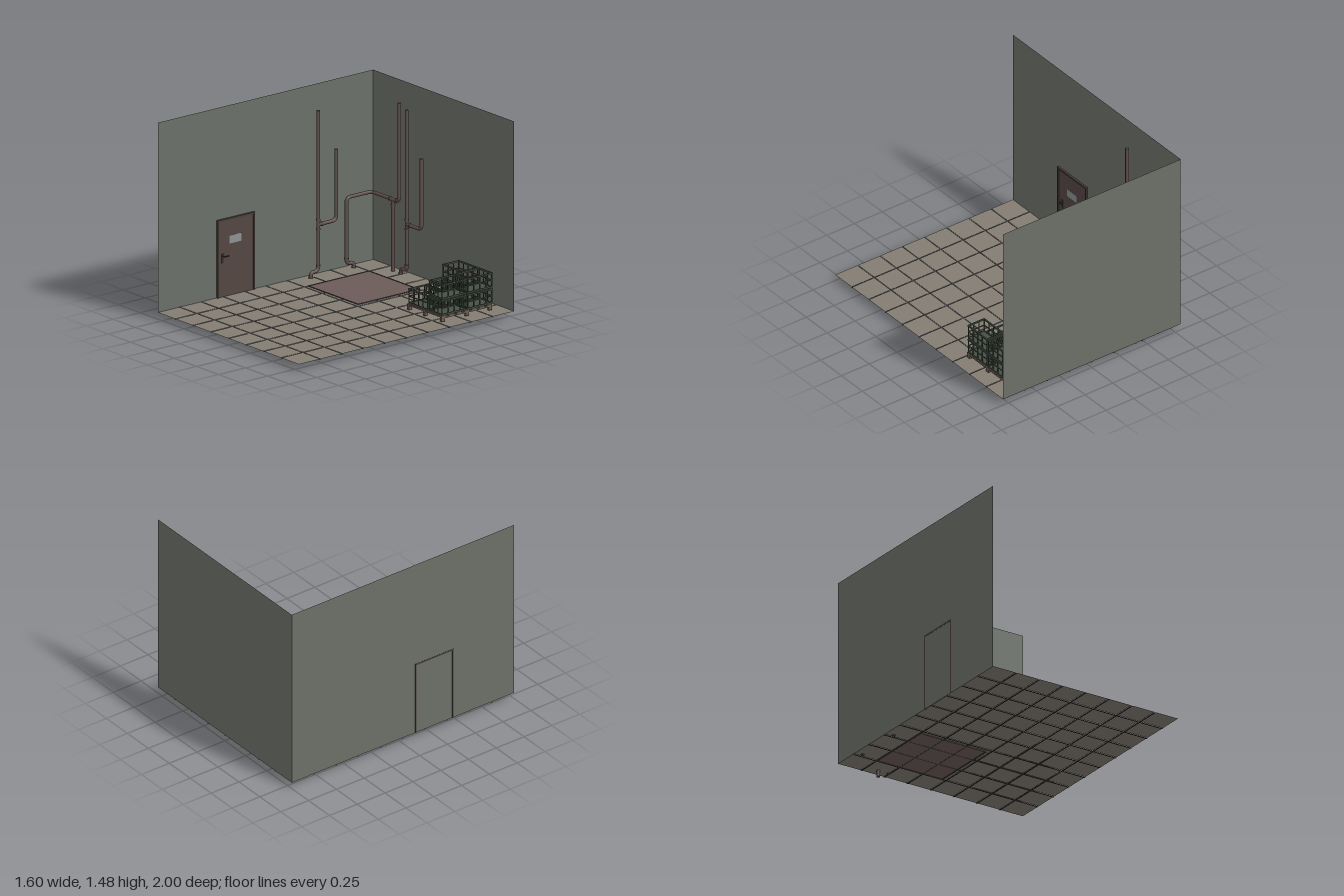
import * as THREE from 'three';

const mat = (color, side = THREE.FrontSide) => new THREE.MeshStandardMaterial({ color, side });
const M = {
  wall: mat(0x6b7068, THREE.DoubleSide), tile: mat(0x827c72, THREE.DoubleSide), grout: mat(0x45433f),
  pipe: mat(0x5f504d), hatch: mat(0x6b5b58), hatchEdge: mat(0x4c4240), door: mat(0x544643),
  doorFrame: mat(0x493d3b), sign: mat(0x8b9090), metal: mat(0x3e3a39), crate: mat(0x465044), pallet: mat(0x6e5d57),
};
const V = (x, y, z) => new THREE.Vector3(x, y, z);
const FLOOR = 0.05;

function group(parent, name) {
  const g = new THREE.Group();
  g.name = name;
  parent.add(g);
  return g;
}

function add(parent, name, geometry, material) {
  const m = new THREE.Mesh(geometry, material);
  m.name = name;
  parent.add(m);
  return m;
}

// Box given by its low and high corners
function box(parent, name, material, x0, x1, y0, y1, z0, z1) {
  const m = add(parent, name, new THREE.BoxGeometry(x1 - x0, y1 - y0, z1 - z0), material);
  m.position.set((x0 + x1) / 2, (y0 + y1) / 2, (z0 + z1) / 2);
  return m;
}

// Straight round bar between two points
function rod(parent, name, a, b, r, material = M.pipe) {
  const d = b.clone().sub(a);
  const m = add(parent, name, new THREE.CylinderGeometry(r, r, d.length(), 14), material);
  m.position.copy(a).add(b).multiplyScalar(0.5);
  m.quaternion.setFromUnitVectors(V(0, 1, 0), d.normalize());
}

const R = 0.0135;

// Pipe through corner points, with a rounded elbow at each inner corner
function pipe(parent, points, bend = 0.035) {
  let start = points[0];
  for (let i = 1; i < points.length; i++) {
    const p = points[i], prev = points[i - 1], next = points[i + 1];
    if (!next) { rod(parent, 'pipeRun', start, p, R); break; }
    const toPrev = prev.clone().sub(p), toNext = next.clone().sub(p);
    const k = Math.min(bend, toPrev.length() * 0.48, toNext.length() * 0.48);
    const a = p.clone().add(toPrev.setLength(k)), b = p.clone().add(toNext.setLength(k));
    if (a.distanceTo(start) > 0.001) rod(parent, 'pipeRun', start, a, R);
    const c1 = a.clone().lerp(p, 0.55), c2 = b.clone().lerp(p, 0.55);
    add(parent, 'elbow', new THREE.TubeGeometry(new THREE.CubicBezierCurve3(a, c1, c2, b), 10, R * 1.04, 14), M.pipe);
    start = b;
  }
}

// Short sleeve round a pipe
function collar(parent, center, axis, half = 0.006) {
  const d = axis.clone().multiplyScalar(half);
  rod(parent, 'collar', center.clone().sub(d), center.clone().add(d), R + 0.0035);
}

// Riser with a foot into the floor and one side branch; at(s, y) maps the wall plane to space
function branchedRiser(parent, name, at, s, dir) {
  const g = group(parent, name), up = V(0, 1, 0);
  const side = at(1, 0).sub(at(0, 0)).normalize();
  pipe(g, [at(s, 1.30), at(s, 0.09), at(s - dir * 0.068, 0.09), at(s - dir * 0.068, 0.045)]);
  pipe(g, [at(s, 0.44), at(s + dir * 0.167, 0.44), at(s + dir * 0.167, 0.975)]);
  for (const y of [0.13, 0.405, 0.475]) collar(g, at(s, y), up);
  collar(g, at(s + dir * 0.035, 0.44), side);
  collar(g, at(s - dir * 0.068, 0.056), up);
}

// Open lattice crate with a solid bottom
function crate(parent, x0, x1, y0, z0, z1) {
  const g = group(parent, 'crate'), h = 0.115, t = 0.006;
  box(g, 'crateBottom', M.crate, x0, x1, y0, y0 + t, z0, z1);
  // Rails: bottom, middle and a wider top rim
  for (const [y, hh, o] of [[y0, 0.012, 0], [y0 + 0.054, 0.007, 0], [y0 + h - 0.011, 0.011, 0.002]]) {
    for (const z of [z0, z1 - t]) box(g, 'rail', M.crate, x0 - o, x1 + o, y, y + hh, z - o, z + t + o);
    for (const x of [x0, x1 - t]) box(g, 'rail', M.crate, x - o, x + t + o, y, y + hh, z0, z1);
  }
  // Uprights on all four sides
  const nx = x1 - x0 > 0.19 ? 4 : 3, nz = z1 - z0 > 0.19 ? 4 : 3, w = 0.0075;
  for (let i = 0; i <= nx; i++) {
    const x = x0 + (x1 - x0 - w) * i / nx;
    for (const z of [z0, z1 - t]) box(g, 'upright', M.crate, x, x + w, y0, y0 + h, z, z + t);
  }
  for (let i = 1; i < nz; i++) {
    const z = z0 + (z1 - z0 - w) * i / nz;
    for (const x of [x0, x1 - t]) box(g, 'upright', M.crate, x, x + t, y0, y0 + h, z, z + w);
  }
}

export function createModel() {
  const model = new THREE.Group();
  model.name = 'cellarRoomCorner';

  // Walls
  const back = add(model, 'backWall', new THREE.PlaneGeometry(1.6, 1.43), M.wall);
  back.position.set(0, FLOOR + 0.715, -1);
  const left = add(model, 'sideWall', new THREE.PlaneGeometry(2, 1.43), M.wall);
  left.rotation.y = Math.PI / 2;
  left.position.set(-0.8, FLOOR + 0.715, 0);

  // Tiled floor with sunken joints
  const floor = group(model, 'floor'), gap = 0.005;
  for (let i = 0; i < 8; i++) for (let j = 0; j < 10; j++) {
    const x0 = -0.8 + i * 0.2 + (i ? gap : 0), x1 = -0.6 + i * 0.2 - (i < 7 ? gap : 0);
    const z0 = -1 + j * 0.2 + (j ? gap : 0), z1 = -0.8 + j * 0.2 - (j < 9 ? gap : 0);
    const tile = add(floor, 'tile', new THREE.PlaneGeometry(x1 - x0, z1 - z0), M.tile);
    tile.rotation.x = -Math.PI / 2;
    tile.position.set((x0 + x1) / 2, FLOOR, (z0 + z1) / 2);
  }
  for (let i = 1; i < 8; i++) {
    const x = -0.8 + i * 0.2;
    box(floor, 'joint', M.grout, x - gap, x + gap, 0.045, 0.0475, -1, 1);
  }
  for (let j = 1; j < 10; j++) {
    const z = -1 + j * 0.2;
    box(floor, 'joint', M.grout, -0.8, 0.8, 0.0452, 0.0477, z - gap, z + gap);
  }

  // Floor hatch with a raised rim
  const hatch = group(model, 'floorHatch');
  box(hatch, 'hatchPlate', M.hatch, -0.59, -0.04, 0.046, 0.054, -0.79, -0.24);
  for (const x of [-0.6, -0.038]) box(hatch, 'hatchRim', M.hatchEdge, x, x + 0.008, 0.044, 0.056, -0.8, -0.23);
  for (const z of [-0.8, -0.238]) box(hatch, 'hatchRim', M.hatchEdge, -0.6, -0.03, 0.044, 0.056, z, z + 0.008);

  // Door on the side wall
  const door = group(model, 'door');
  box(door, 'doorLeaf', M.door, -0.799, -0.792, FLOOR, 0.622, 0.122, 0.443);
  for (const z of [0.11, 0.443]) box(door, 'doorJamb', M.doorFrame, -0.801, -0.785, FLOOR, 0.635, z, z + 0.012);
  box(door, 'doorHead', M.doorFrame, -0.801, -0.785, 0.622, 0.635, 0.11, 0.455);
  box(door, 'doorPanel', M.sign, -0.793, -0.79, 0.44, 0.5, 0.23, 0.342);
  box(door, 'handlePlate', M.metal, -0.793, -0.788, 0.305, 0.375, 0.394, 0.414);
  rod(door, 'handleStem', V(-0.79, 0.358, 0.404), V(-0.764, 0.358, 0.404), 0.004, M.metal);
  rod(door, 'handleLever', V(-0.766, 0.358, 0.407), V(-0.766, 0.358, 0.362), 0.004, M.metal);

  // Matching risers on both walls
  const PX = -0.74, PZ = -0.935, up = V(0, 1, 0);
  branchedRiser(model, 'backWallRiser', (s, y) => V(s, y, PZ), -0.34, 1);
  branchedRiser(model, 'sideWallRiser', (s, y) => V(PX, y, s), -0.44, -1);

  // Pipe running round the corner, with a drop through the floor
  const corner = group(model, 'cornerPipe');
  pipe(corner, [V(-0.425, 1.335, PZ), V(-0.425, 0.59, PZ), V(PX, 0.59, PZ), V(PX, 0.59, -0.703),
    V(PX, 0.09, -0.703), V(PX, 0.09, -0.77), V(PX, 0.045, -0.77)]);
  rod(corner, 'dropPipe', V(-0.495, 0.59, PZ), V(-0.495, 0, PZ), R);
  for (const x of [-0.53, -0.46]) collar(corner, V(x, 0.59, PZ), V(1, 0, 0));
  collar(corner, V(-0.495, 0.55, PZ), up);
  collar(corner, V(PX, 0.13, -0.703), up);
  collar(corner, V(PX, 0.056, -0.77), up);

  // Pallet
  const pallet = group(model, 'pallet');
  for (const x of [0.295, 0.476, 0.667]) {
    for (const z of [-0.89, -0.675, -0.45]) box(pallet, 'block', M.pallet, x, x + 0.018, 0.056, 0.086, z, z + 0.03);
    box(pallet, 'bearer', M.pallet, x, x + 0.018, 0.08, 0.09, -0.89, -0.42);
  }
  for (let i = 0; i < 7; i++) {
    const z = -0.89 + i * 0.0705;
    box(pallet, 'deckBoard', M.pallet, 0.295, 0.685, 0.088, 0.1, z, z + 0.047);
  }

  // Crates: full lower layer, partly filled upper layer
  const crates = group(model, 'crates');
  for (const [layer, y] of [0.101, 0.221].entries()) {
    for (let i = 0; i < (layer ? 1 : 3); i++) crate(crates, 0.302, 0.522, y, -0.893 + i * 0.159, -0.743 + i * 0.159);
    for (let i = 0; i < 2; i++) crate(crates, 0.535, 0.683, y, -0.893 + i * 0.239, -0.665 + i * 0.239);
  }
  return model;
}
